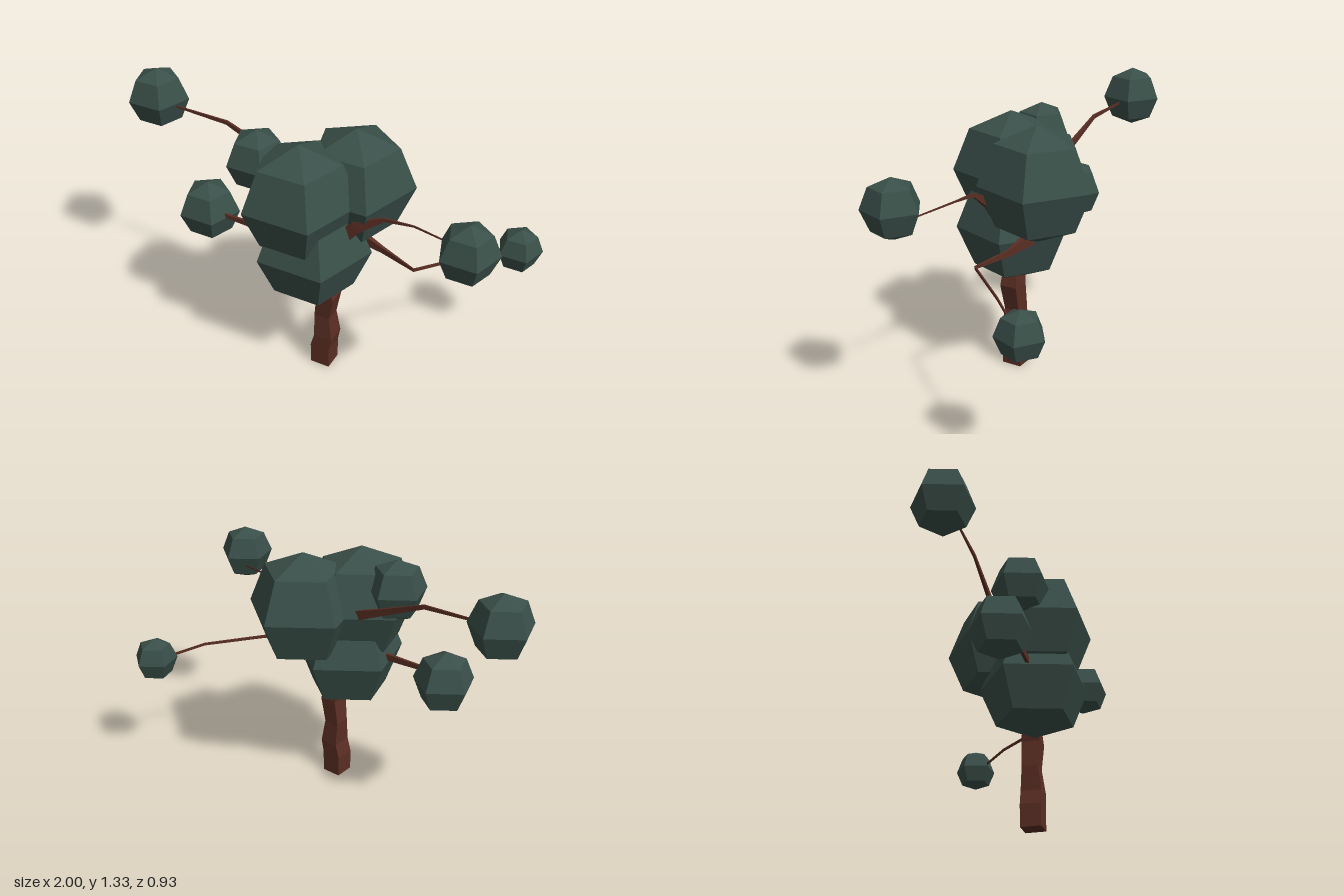
import * as THREE from 'three';

const foliage = new THREE.MeshStandardMaterial({ color: 0x3a4f49, flatShading: true });
foliage.name = 'dark green foliage';
const bark = new THREE.MeshStandardMaterial({ color: 0x5a2e24, flatShading: true });
bark.name = 'brown bark';

// Solid skinned over four-cornered sections, capped at both ends
function loft(sections) {
  const pos = [];
  const quad = (a, b, c, d) => [a, b, c, a, c, d].forEach((p) => pos.push(p.x, p.y, p.z));
  for (let s = 0; s < sections.length - 1; s++) {
    const a = sections[s], b = sections[s + 1];
    for (let i = 0; i < 4; i++) {
      const j = (i + 1) % 4;
      quad(a[i], a[j], b[j], b[i]);
    }
  }
  const first = sections[0], last = sections[sections.length - 1];
  quad(first[3], first[2], first[1], first[0]);
  quad(last[0], last[1], last[2], last[3]);
  const geometry = new THREE.BufferGeometry();
  geometry.setAttribute('position', new THREE.Float32BufferAttribute(pos, 3));
  geometry.computeVertexNormals();
  return geometry;
}

// Rectangle around a centre, with half-extents along u and v
function section(c, u, v, hu, hv) {
  return [[-1, -1], [1, -1], [1, 1], [-1, 1]].map(([a, b]) =>
    c.clone().addScaledVector(u, a * hu).addScaledVector(v, b * hv));
}

// Tapered branch, taller than wide; each point is x, y, z, height
function branchGeometry(points) {
  const centres = points.map((p) => new THREE.Vector3(p[0], p[1], p[2]));
  const up = new THREE.Vector3(0, 1, 0);
  return loft(centres.map((c, i) => {
    const t = centres[Math.min(i + 1, centres.length - 1)].clone()
      .sub(centres[Math.max(i - 1, 0)]).normalize();
    const u = up.clone().cross(t).normalize();
    const v = t.clone().cross(u);
    return section(c, u, v, points[i][3] * 0.25, points[i][3] / 2);
  }));
}

export function createModel() {
  const tree = new THREE.Group();
  tree.name = 'tree';
  const add = (name, geometry, material) => {
    const mesh = new THREE.Mesh(geometry, material);
    mesh.name = name;
    tree.add(mesh);
    return mesh;
  };

  // Crooked square trunk: x, y, z, width in x, width in z
  const trunk = [
    [0.118, 0, 0.162, 0.1, 0.1],
    [0.118, 0.11, 0.162, 0.1, 0.1],
    [0.134, 0.18, 0.162, 0.094, 0.1],
    [0.122, 0.3, 0.159, 0.08, 0.078],
    [0.142, 0.43, 0.162, 0.088, 0.09],
    [0.11, 0.56, 0.165, 0.07, 0.07],
  ];
  const xAxis = new THREE.Vector3(1, 0, 0), zAxis = new THREE.Vector3(0, 0, 1);
  add('trunk', loft(trunk.map(([x, y, z, w, d]) =>
    section(new THREE.Vector3(x, y, z), zAxis, xAxis, d / 2, w / 2))), bark);

  // Branches reaching out to the small clumps
  const branches = {
    upperRightBranch: [[0.02, 0.95, 0.06, 0.06], [-0.19, 1.035, 0.055, 0.035],
      [-0.46, 1.145, 0.05, 0.02], [-0.76, 1.157, 0.05, 0.01]],
    lowerRightBranch: [[0, 0.715, 0.21, 0.05], [-0.17, 0.735, 0.215, 0.032],
      [-0.46, 0.742, 0.215, 0.018]],
    upperLeftBranch: [[0.2, 0.79, 0.19, 0.07], [0.29, 0.89, 0.188, 0.055],
      [0.42, 0.966, 0.182, 0.018], [0.56, 0.977, 0.18, 0.009], [0.79, 0.97, 0.22, 0.006]],
    lowerLeftBranch: [[0.2, 0.72, 0.02, 0.065], [0.36, 0.69, 0.045, 0.03],
      [0.54, 0.676, 0.1, 0.015], [0.74, 0.664, -0.15, 0.013], [0.85, 0.62, -0.3, 0.012]],
  };
  for (const [name, points] of Object.entries(branches)) add(name, branchGeometry(points), bark);

  // Five-sided foliage clumps: x, y, z, radius
  const clumps = {
    frontCrown: [0.025, 0.98, 0.232, 0.28],
    backCrown: [0.185, 0.98, -0.01, 0.28],
    lowerCrown: [0.07, 0.71, 0.195, 0.278],
    sideClump: [-0.204, 1.105, 0.203, 0.15],
    upperRightClump: [-0.857, 1.175, 0.032, 0.15],
    lowerRightClump: [-0.5, 0.73, 0.184, 0.15],
    upperLeftClump: [0.845, 1.013, 0.292, 0.138],
    lowerLeftClump: [0.889, 0.615, -0.358, 0.112],
  };
  for (const [name, [x, y, z, r]] of Object.entries(clumps)) {
    const clump = add(name, new THREE.SphereGeometry(r, 5, 4), foliage);
    clump.position.set(x, y, z);
    clump.rotation.y = -Math.PI / 2; // one corner points to the back
  }
  return tree;
}
